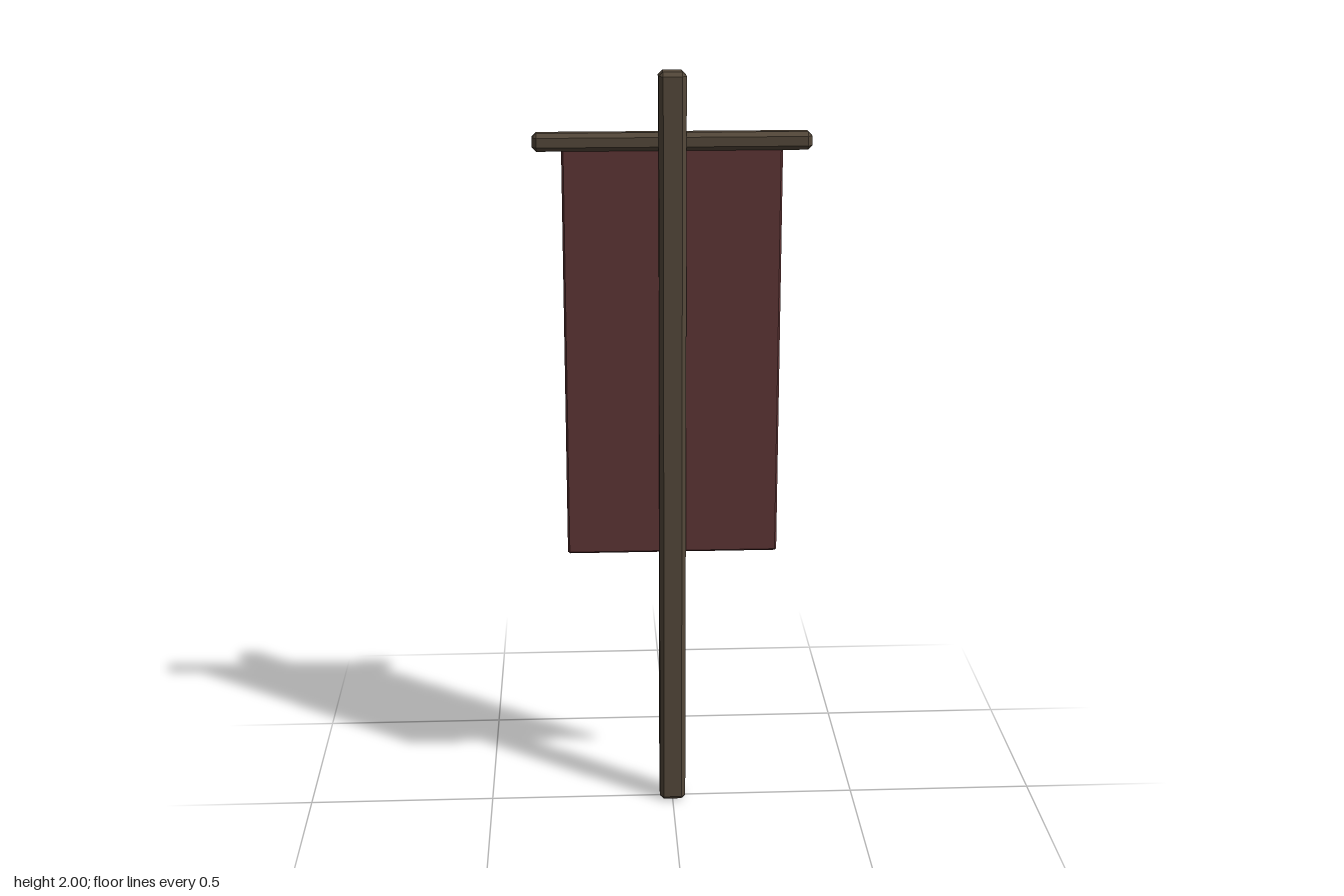
import * as THREE from 'three';
import { ConvexGeometry } from 'three/addons/geometries/ConvexGeometry.js';

// Box with chamfered edges and corners, given its full size and chamfer width
function chamferedBox(w, h, d, c) {
  const half = [w / 2, h / 2, d / 2];
  const points = [];
  for (const sx of [-1, 1]) for (const sy of [-1, 1]) for (const sz of [-1, 1]) {
    const sign = [sx, sy, sz];
    // each corner becomes three points, one on each adjoining face
    for (let face = 0; face < 3; face++) {
      points.push(new THREE.Vector3(...half.map((s, axis) => sign[axis] * (axis === face ? s : s - c))));
    }
  }
  return new ConvexGeometry(points);
}

export function createModel() {
  const group = new THREE.Group();
  group.name = 'hangingBanner';

  const wood = new THREE.MeshStandardMaterial({ color: 0x54483a });
  wood.name = 'dark wood';
  const cloth = new THREE.MeshStandardMaterial({ color: 0x5e3535 });
  cloth.name = 'dull red cloth';

  const add = (name, size, y, material) => {
    const mesh = new THREE.Mesh(chamferedBox(...size), material);
    mesh.name = name;
    mesh.position.y = y;
    group.add(mesh);
  };

  // upright post
  add('pole', [0.07, 2, 0.07, 0.011], 1, wood);
  // bar the cloth hangs from
  add('crossbar', [0.704, 0.046, 0.046, 0.011], 1.826, wood);
  // thin cloth panel, tucked into the crossbar
  add('banner', [0.558, 1.09, 0.02, 0.005], 1.272, cloth);

  return group;
}
